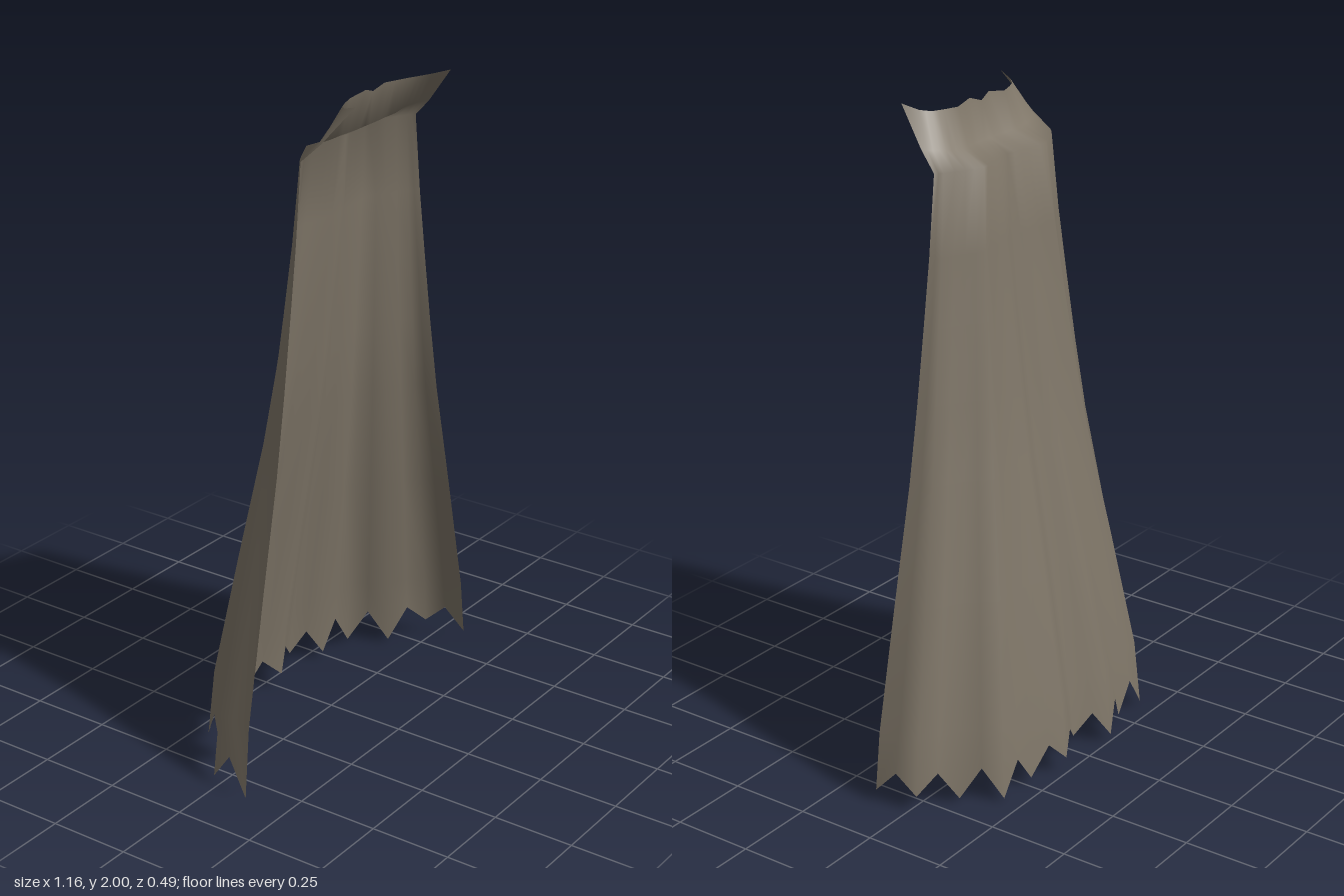
import * as THREE from 'three';

// One half of each cross-section, from the spine to the front edge: [x, y, z]
const collarEdge = [[0, 1.975, 0.14], [0.045, 1.99, 0.148], [0.11, 1.98, 0.14], [0.155, 1.98, 0.155],
  [0.19, 1.98, 0.17], [0.215, 1.985, 0.195], [0.233, 2, 0.243]];
const neckLine = [[0, 1.87, 0.113], [0.05, 1.87, 0.113], [0.105, 1.87, 0.11], [0.155, 1.87, 0.11],
  [0.2, 1.88, 0.115], [0.24, 1.885, 0.13], [0.263, 1.89, 0.153]];
const shoulder = [[0, 1.835, 0.05], [0.05, 1.835, 0.04], [0.1, 1.835, 0.032], [0.15, 1.835, 0.022],
  [0.2, 1.835, 0.048], [0.26, 1.835, 0.08], [0.28, 1.835, 0.097]];
const hem = [[0, 0, -0.19], [0.12, 0, -0.247], [0.235, 0, -0.2], [0.365, 0, -0.195],
  [0.44, 0, -0.088], [0.56, 0, -0.022], [0.582, 0, 0.11]];

// Heights of the hem points on each side, and of the notches between them
const tipsLeft = [0.05, 0.05, 0.02, 0.01, 0.01, 0.05, 0.04];
const tipsRight = [0.05, 0.02, 0.02, 0.01, 0.01, 0.02, 0];
const NOTCH = 0.11;

// Flare of the cloth: [height, share of the way from shoulder to hem]
const flare = [[1.6, 0.085], [1.4, 0.18], [1.18, 0.29], [0.95, 0.42], [0.6, 0.67], [0.22, 0.93]];

// Mirror a half section and add a point between each neighbouring pair
function fullSection(half) {
  const pts = [];
  for (let i = -12; i <= 12; i++) {
    const k = Math.abs(i) / 2;
    const a = half[Math.floor(k)], b = half[Math.ceil(k)];
    const p = a.map((v, j) => (v + b[j]) / 2);
    pts.push([i < 0 ? -p[0] : p[0], p[1], p[2]]);
  }
  return pts;
}

function loft(rows) {
  const n = rows[0].length, index = [];
  for (let r = 0; r < rows.length - 1; r++) {
    for (let c = 0; c < n - 1; c++) {
      const a = r * n + c, b = a + 1, d = a + n, e = d + 1;
      // diagonals mirror about the spine
      if (c < (n - 1) / 2) index.push(a, b, d, b, e, d);
      else index.push(a, b, e, a, e, d);
    }
  }
  const g = new THREE.BufferGeometry();
  g.setAttribute('position', new THREE.Float32BufferAttribute(rows.flat(2), 3));
  g.setIndex(index);
  g.computeVertexNormals();
  return g;
}

export function createModel() {
  const cloth = new THREE.MeshStandardMaterial({ color: 0x7f7668, side: THREE.DoubleSide });
  cloth.name = 'grey brown cloth';

  const top = fullSection(shoulder), bottom = fullSection(hem);
  const rows = [fullSection(collarEdge), fullSection(neckLine), top];

  // Draped folds widening towards the hem
  for (const [y, t] of flare) {
    rows.push(top.map((p, i) => [
      THREE.MathUtils.lerp(p[0], bottom[i][0], t), y,
      THREE.MathUtils.lerp(p[2], bottom[i][2], t)]));
  }

  // Jagged hem
  rows.push(bottom.map(([x, , z], i) => {
    const k = i - 12;
    const tips = k < 0 ? tipsRight : tipsLeft;
    return [x, k % 2 ? NOTCH : tips[Math.abs(k) / 2], z];
  }));

  const cape = new THREE.Mesh(loft(rows), cloth);
  cape.name = 'cape';
  const group = new THREE.Group();
  group.name = 'raggedCape';
  group.add(cape);
  return group;
}
